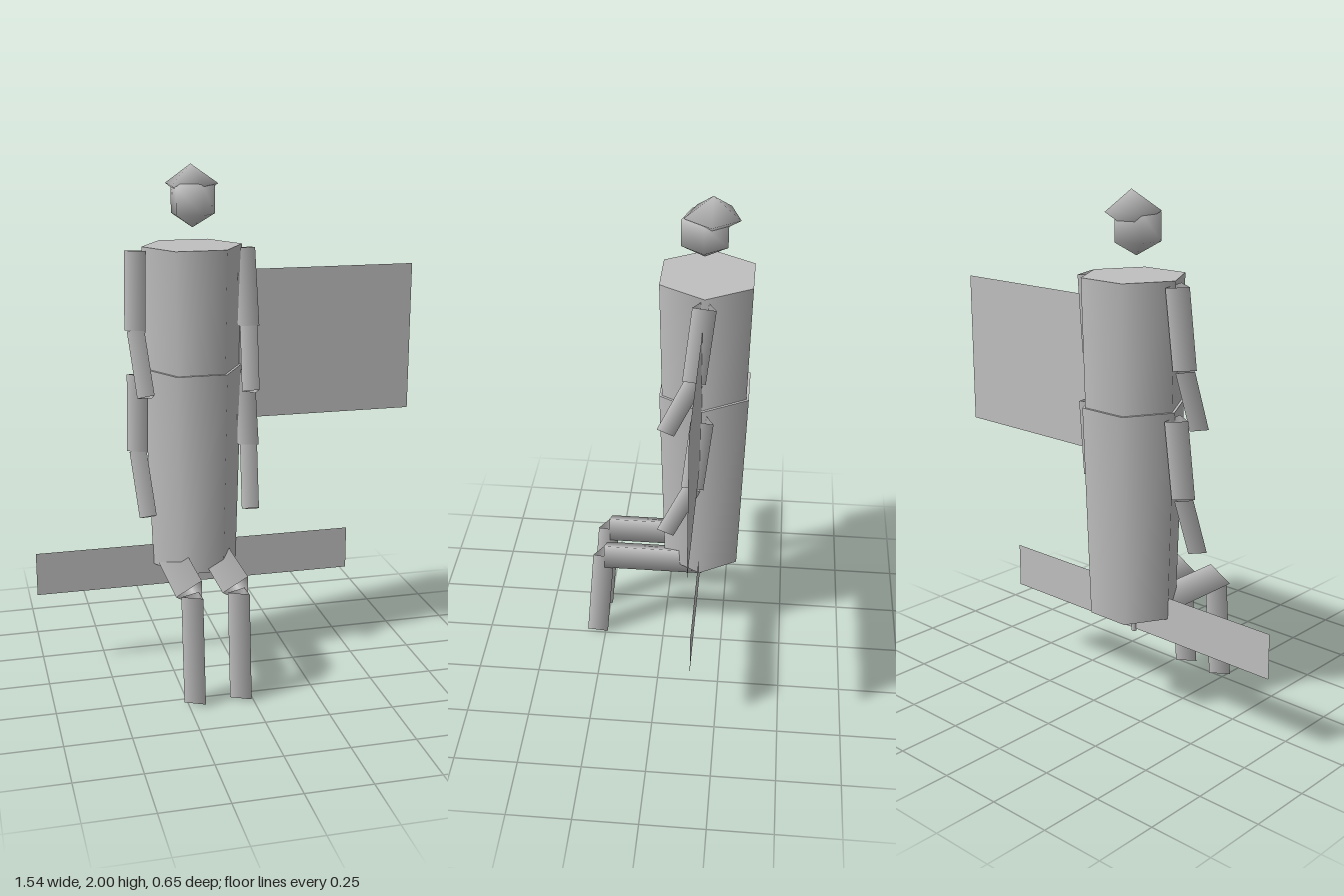
import * as THREE from 'three';

export function createModel() {
  const group = new THREE.Group();
  const grey = new THREE.MeshStandardMaterial({ color: 0xc0c0c0, side: THREE.DoubleSide });
  grey.name = 'plain grey';
  const CX = -0.127; // centre line of the figure
  const CZ = -0.153;

  function add(name, geometry, x = 0, y = 0, z = 0) {
    const mesh = new THREE.Mesh(geometry, grey);
    mesh.name = name;
    mesh.position.set(x, y, z);
    group.add(mesh);
    return mesh;
  }

  // Open three-sided tube between two points, one edge towards -x
  function limb(name, from, to, radius) {
    const a = new THREE.Vector3(...from), b = new THREE.Vector3(...to);
    const dir = b.clone().sub(a);
    const geo = new THREE.CylinderGeometry(radius, radius, dir.length(), 3, 1, true, -Math.PI / 2);
    const yAxis = dir.normalize();
    const xAxis = new THREE.Vector3(1, 0, 0).addScaledVector(yAxis, -yAxis.x).normalize();
    const zAxis = new THREE.Vector3().crossVectors(xAxis, yAxis);
    geo.applyMatrix4(new THREE.Matrix4().makeBasis(xAxis, yAxis, zAxis));
    const mid = a.add(b).multiplyScalar(0.5);
    add(name, geo, mid.x, mid.y, mid.z);
  }

  // Hexagonal body section, corners on the x axis
  function bodySection(name, top, bottom, rTop, rBottom) {
    const geo = new THREE.CylinderGeometry(rTop, rBottom, top - bottom, 6, 1, false, Math.PI / 2);
    add(name, geo, CX, (top + bottom) / 2, CZ);
  }
  bodySection('upperBody', 1.695, 1.22, 0.196, 0.185);
  bodySection('lowerBody', 1.22, 0.41, 0.196, 0.171);

  // Head and the cap set back on it
  const head = new THREE.SphereGeometry(0.103, 5, 3).rotateY(Math.PI);
  add('head', head, -0.128, 1.867, -0.14);
  const cap = new THREE.SphereGeometry(1, 5, 2).rotateY(Math.PI).scale(0.107, 0.075, 0.107);
  add('cap', cap, -0.128, 1.925, -0.166);

  for (const side of [1, -1]) {
    const label = side > 0 ? 'left' : 'right';
    // Two tiers of arms
    [['Upper', 0], ['Lower', -0.48]].forEach(([tier, dy]) => {
      const shoulder = [CX + side * 0.213, 1.68 + dy, -0.155];
      const elbow = [CX + side * 0.223, 1.38 + dy, -0.123];
      const hand = [CX + side * 0.205, 1.14 + dy, -0.018];
      limb(label + tier + 'TierUpperArm', shoulder, elbow, 0.05);
      limb(label + tier + 'TierForearm', elbow, hand, 0.041);
    });
    // Seated legs
    const lx = CX + side * 0.09;
    limb(label + 'Thigh', [lx, 0.425, -0.16], [lx, 0.425, 0.245], 0.066);
    limb(label + 'Shin', [lx + 0.003, 0.425, 0.248], [lx + 0.003, 0.005, 0.284], 0.05);
  }

  // Upright sheets and the small post below the body
  add('sidePanel', new THREE.PlaneGeometry(0.89, 0.595), 0.325, 1.298, -0.15);
  add('lowerPanel', new THREE.PlaneGeometry(1.29, 0.175), -0.125, 0.407, -0.15);
  add('post', new THREE.CylinderGeometry(0.01, 0.01, 0.12, 6), -0.125, 0.37, -0.15);

  return group;
}
